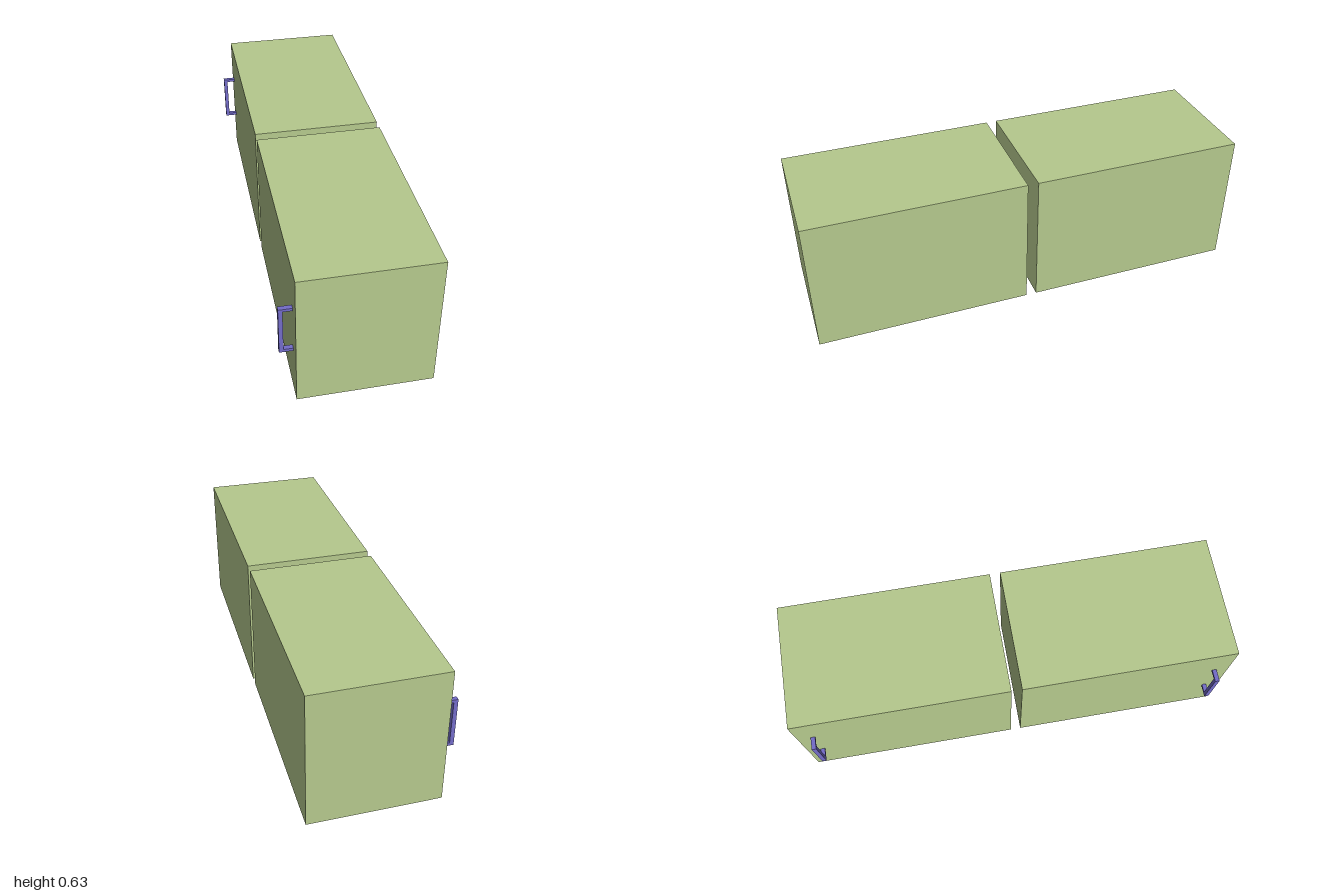
import * as THREE from 'three';

export function createModel() {
  const group = new THREE.Group();
  const doorMat = new THREE.MeshStandardMaterial({ color: 0xb5c98d });
  const handleMat = new THREE.MeshStandardMaterial({ color: 0x736cc8 });

  // C-shaped pull handle, open towards the side face at x = -0.259
  const outline = [
    [-0.259, 0.218], [-0.259, 0.232], [-0.298, 0.232], [-0.298, 0.432],
    [-0.259, 0.432], [-0.259, 0.445], [-0.316, 0.445], [-0.316, 0.218],
  ].map(([x, y]) => new THREE.Vector2(x, y));
  const depth = 0.02;
  const handleGeo = new THREE.ExtrudeGeometry(new THREE.Shape(outline), { depth, bevelEnabled: false });
  handleGeo.translate(0, 0, -depth / 2);

  const blockGeo = new THREE.BoxGeometry(0.574, 0.627, 0.976);

  // Front and back blocks, each with a handle near its outer end
  for (const [side, name] of [[1, 'front'], [-1, 'back']]) {
    const block = new THREE.Mesh(blockGeo, doorMat);
    block.name = name + 'Block';
    block.position.set(0.028, 0.3135, side * 0.512);

    const handle = new THREE.Mesh(handleGeo, handleMat);
    handle.name = name + 'Handle';
    handle.position.z = side * 0.931;
    group.add(block, handle);
  }
  return group;
}
